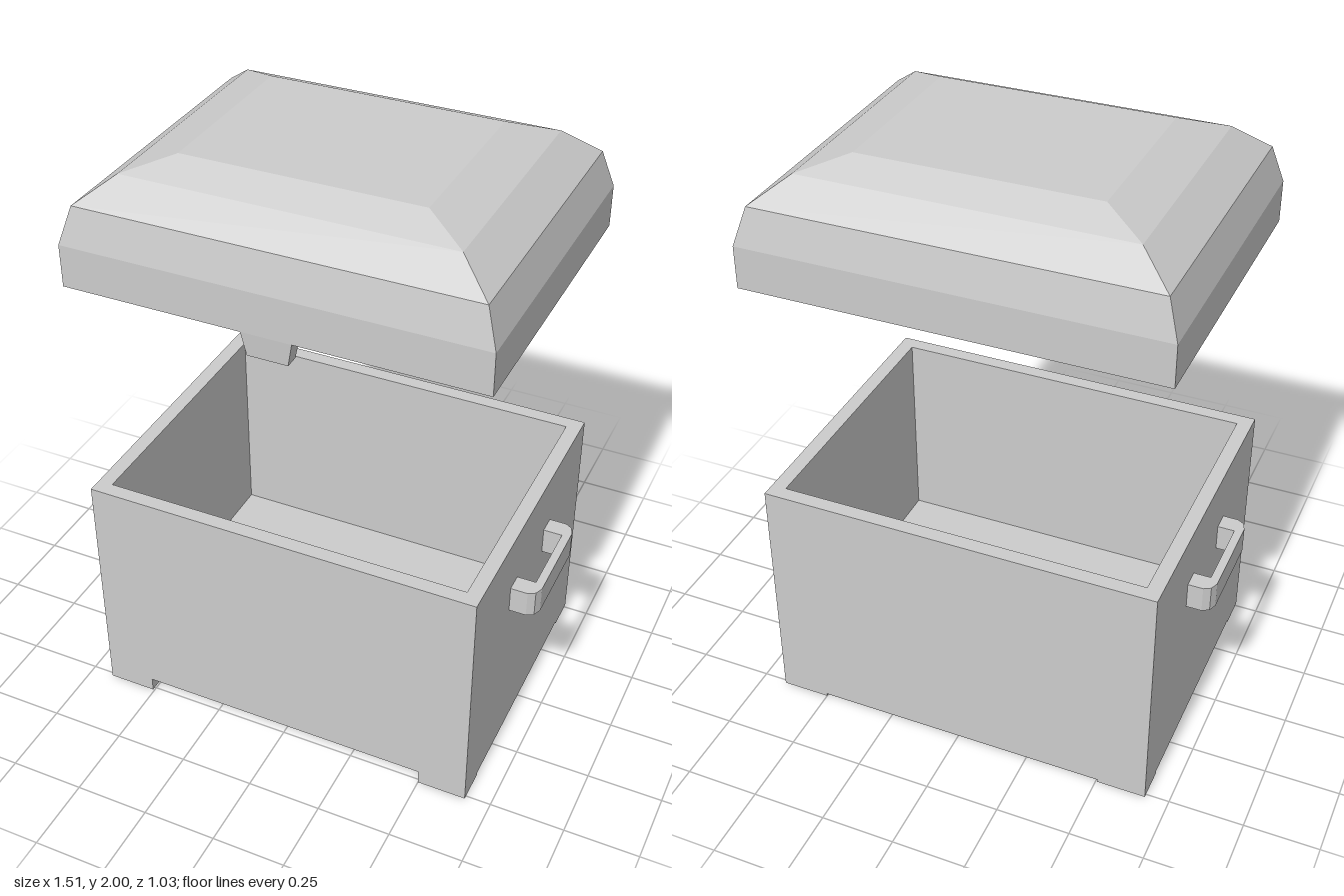
import * as THREE from 'three';

const material = new THREE.MeshStandardMaterial({ color: 0xcccccc, flatShading: true });

function part(name, geometry, x = 0, y = 0, z = 0) {
  const mesh = new THREE.Mesh(geometry, material);
  mesh.name = name;
  mesh.position.set(x, y, z);
  return mesh;
}

// Skin over stacked rectangles [halfX, y, halfZ], capped at both ends.
function loft(levels) {
  const rings = levels.map(([x, y, z]) => [[x, y, z], [x, y, -z], [-x, y, -z], [-x, y, z]]);
  const out = [];
  const quad = (a, b, c, d) => out.push(...a, ...b, ...c, ...a, ...c, ...d);
  const first = rings[0], last = rings[rings.length - 1];
  quad(first[3], first[2], first[1], first[0]);
  for (let k = 0; k + 1 < rings.length; k++) {
    for (let i = 0; i < 4; i++) {
      const j = (i + 1) % 4;
      quad(rings[k][i], rings[k][j], rings[k + 1][j], rings[k + 1][i]);
    }
  }
  quad(...last);
  const g = new THREE.BufferGeometry();
  g.setAttribute('position', new THREE.Float32BufferAttribute(out, 3));
  g.computeVertexNormals();
  return g;
}

// Upright prism over a plan outline of [x, z] points.
function prism(points, y0, y1) {
  const shape = new THREE.Shape(points.map(([x, z]) => new THREE.Vector2(x, -z)));
  const g = new THREE.ExtrudeGeometry(shape, { depth: y1 - y0, bevelEnabled: false });
  return g.rotateX(-Math.PI / 2).translate(0, y0, 0);
}

export function createModel() {
  const model = new THREE.Group();
  model.name = 'chest';
  const cx = -0.003;
  const hx = 0.668, hz = 0.512, t = 0.05;

  // Open box with a shallow recess under the floor
  const box = new THREE.Group();
  box.name = 'box';
  box.position.x = cx;
  box.add(part('boxBody', loft([
    [hx - t, 0.09, hz - t], [hx - t, 0.05, hz - t], [hx, 0.05, hz],
    [hx, 0.84, hz], [hx - t, 0.84, hz - t], [hx - t, 0.13, hz - t],
  ])));

  // Base skirt on the back and sides; the front stays cut out between the feet
  const fx = 0.165, fz = 0.11;
  box.add(part('backSkirt', new THREE.BoxGeometry(2 * (hx - fx), 0.04, t), 0, 0.03, -hz + t / 2));
  for (const s of [1, -1]) {
    const side = s > 0 ? 'left' : 'right';
    box.add(part(side + 'Skirt', new THREE.BoxGeometry(t, 0.04, 2 * (hz - fz)), s * (hx - t / 2), 0.03, 0));

    // Corner feet with a chamfered inner face
    for (const f of [1, -1]) {
      const at = ([x, z]) => [s * (hx - x), f * (hz - z)];
      const foot = [[0, 0], [fx, 0], [fx, t], [t, fz], [0, fz]].map(at);
      const gusset = [[t, t], [fx, t], [t, fz]].map(at);
      const name = side + (f > 0 ? 'Front' : 'Back');
      box.add(part(name + 'Foot', prism(foot, 0, 0.05)));
      box.add(part(name + 'Gusset', prism(gusset, 0.05, 0.09)));
    }
  }
  model.add(box);

  // Side handles
  for (const s of [1, -1]) {
    const half = [[0.66, 0.19], [0.722, 0.19], [0.745, 0.177], [0.756, 0.15]];
    const inner = [[0.728, 0.128], [0.66, 0.128]];
    const mirror = (list) => list.map(([x, z]) => [x, -z]).reverse();
    const outline = [...half, ...mirror(half), ...mirror(inner), ...inner];
    model.add(part(s > 0 ? 'leftHandle' : 'rightHandle',
      prism(outline.map(([x, z]) => [s * x, z]), 0.56, 0.652)));
  }

  // Hollow faceted lid floating above the box
  const lid = new THREE.Group();
  lid.name = 'lid';
  lid.position.x = cx;
  lid.add(part('lidShell', loft([
    [0.37, 1.94, 0.28], [0.61, 1.83, 0.452], [0.61, 1.605, 0.452], [0.678, 1.605, 0.517],
    [0.678, 1.745, 0.517], [0.64, 1.868, 0.488], [0.53, 1.953, 0.4], [0.388, 2, 0.294],
  ])));
  lid.add(part('latchTab', loft([[0.066, 1.525, 0.023], [0.082, 1.606, 0.029]]), -0.006, 0, 0.487));
  model.add(lid);

  return model;
}
